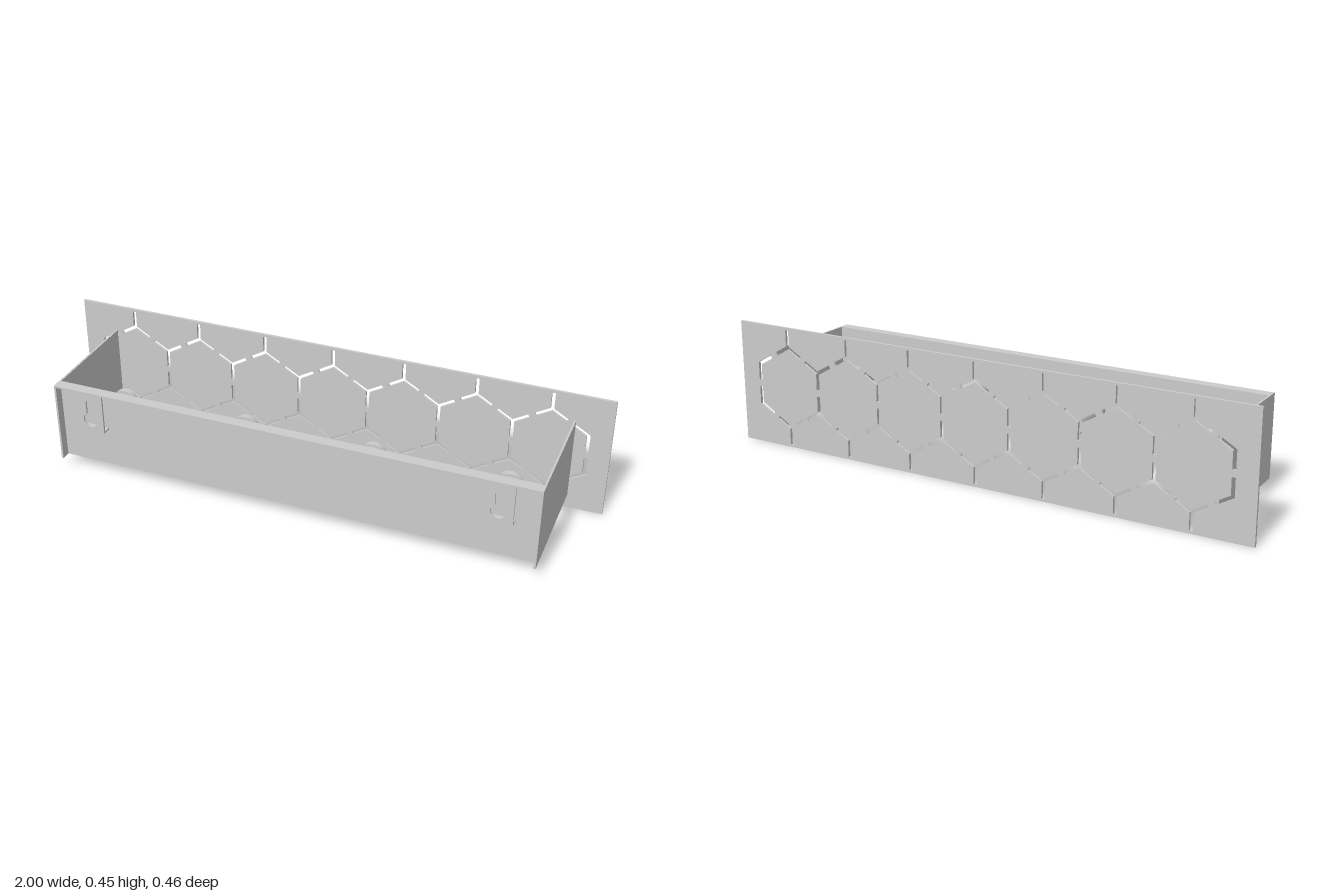
import * as THREE from 'three';

const material = new THREE.MeshStandardMaterial({ color: 0xcccccc });
const T = 0.007; // sheet thickness

function addMesh(parent, name, geometry, x = 0, y = 0, z = 0) {
  const mesh = new THREE.Mesh(geometry, material);
  mesh.name = name;
  mesh.position.set(x, y, z);
  parent.add(mesh);
  return mesh;
}

// Box given by its minimum and maximum corners
function addBox(parent, name, [x0, y0, z0], [x1, y1, z1]) {
  return addMesh(parent, name, new THREE.BoxGeometry(x1 - x0, y1 - y0, z1 - z0),
    (x0 + x1) / 2, (y0 + y1) / 2, (z0 + z1) / 2);
}

function rectShape(x0, y0, x1, y1) {
  return new THREE.Shape([[x0, y0], [x1, y0], [x1, y1], [x0, y1]].map(p => new THREE.Vector2(...p)));
}

// Slot hole with arms leaving one hexagon corner at the given angles (degrees, ascending)
function starHole(x, y, degrees, length = 0.064, half = 0.0065) {
  const points = [];
  const put = (px, py) => points.push(new THREE.Vector2(x + px, y + py));
  degrees.forEach((degree, i) => {
    const a = THREE.MathUtils.degToRad(degree);
    const last = i === degrees.length - 1;
    const b = THREE.MathUtils.degToRad(last ? degrees[0] + 360 : degrees[i + 1]);
    const c = Math.cos(a), s = Math.sin(a);
    put(c * length + s * half, s * length - c * half);
    put(c * length - s * half, s * length + c * half);
    const d = half / Math.sin((b - a) / 2), m = (a + b) / 2;
    put(Math.cos(m) * d, Math.sin(m) * d);
  });
  return new THREE.Path(points);
}

// Plate with a row of seven hexagons drawn by slots
function backPlateGeometry() {
  const pitch = 0.263, R = pitch / Math.sqrt(3), cy = 0.225;
  const up = [90, 210, 330], down = [30, 150, 270];
  const shape = rectShape(-1, 0, 1, 0.45);
  for (let k = -3; k <= 3; k++) {
    shape.holes.push(starHole(k * pitch, cy + R, up), starHole(k * pitch, cy - R, down));
  }
  for (let k = -3.5; k <= 3.5; k++) {
    // End corners keep only the arms that do not point outwards
    const outward = Math.abs(k) === 3.5 ? Math.sign(k) : 0;
    const keep = d => Math.cos(THREE.MathUtils.degToRad(d)) * outward < 0.1;
    shape.holes.push(starHole(k * pitch, cy + R / 2, down.filter(keep)),
      starHole(k * pitch, cy - R / 2, up.filter(keep)));
  }
  return new THREE.ExtrudeGeometry(shape, { depth: 0.01, bevelEnabled: false });
}

// Hanger with a keyhole and a foot bent back to the front panel
function createHanger() {
  const hanger = new THREE.Group();
  const shape = rectShape(-0.05, 0.195, 0.05, 0.343);
  const r = 0.027, slot = 0.014, cy = 0.24;
  const a = Math.acos(slot / r);
  const hole = new THREE.Path();
  hole.absarc(0, cy, r, Math.PI - a, Math.PI * 2 + a, false);
  hole.absarc(0, 0.305, slot, 0, Math.PI, false);
  hole.closePath();
  shape.holes.push(hole);
  addMesh(hanger, 'keyholePlate',
    new THREE.ExtrudeGeometry(shape, { depth: T, bevelEnabled: false, curveSegments: 16 }), 0, 0, 0.23 - T);
  addBox(hanger, 'hangerFoot', [-0.05, 0.195, 0.19 + T], [0.05, 0.195 + T, 0.23 - T]);
  return hanger;
}

// Headed peg pointing backwards from the front panel
function createPeg() {
  const peg = new THREE.Group();
  const shaft = new THREE.CylinderGeometry(0.037, 0.037, 0.17, 32).rotateX(Math.PI / 2);
  const head = new THREE.CylinderGeometry(0.047, 0.047, 0.02, 32).rotateX(Math.PI / 2);
  addMesh(peg, 'pegShaft', shaft, 0, 0, 0.105);
  addMesh(peg, 'pegHead', head, 0, 0, 0.01);
  return peg;
}

export function createModel() {
  const model = new THREE.Group();
  model.name = 'wallRack';

  addMesh(model, 'backPlate', backPlateGeometry(), 0, 0, -0.23);

  // Frame: recessed front panel, top lip and two side walls
  const W = 0.873;
  addBox(model, 'frontPanel', [-W + T, 0.05, 0.19], [W - T, 0.35 - T, 0.19 + T]);
  addBox(model, 'topLip', [-W + T, 0.35 - T, 0.19], [W - T, 0.35, 0.23]);
  for (const side of [-1, 1]) {
    const x = side * (W - T / 2);
    addBox(model, side > 0 ? 'leftWall' : 'rightWall', [x - T / 2, 0.05, -0.22], [x + T / 2, 0.35, 0.23]);
    const hanger = createHanger();
    hanger.name = side > 0 ? 'leftHanger' : 'rightHanger';
    hanger.position.x = side * 0.736;
    model.add(hanger);
  }

  for (const x of [-0.718, -0.239, 0.239, 0.718]) {
    const peg = createPeg();
    peg.name = 'peg';
    peg.position.set(x, 0.2, 0);
    model.add(peg);
  }
  return model;
}
